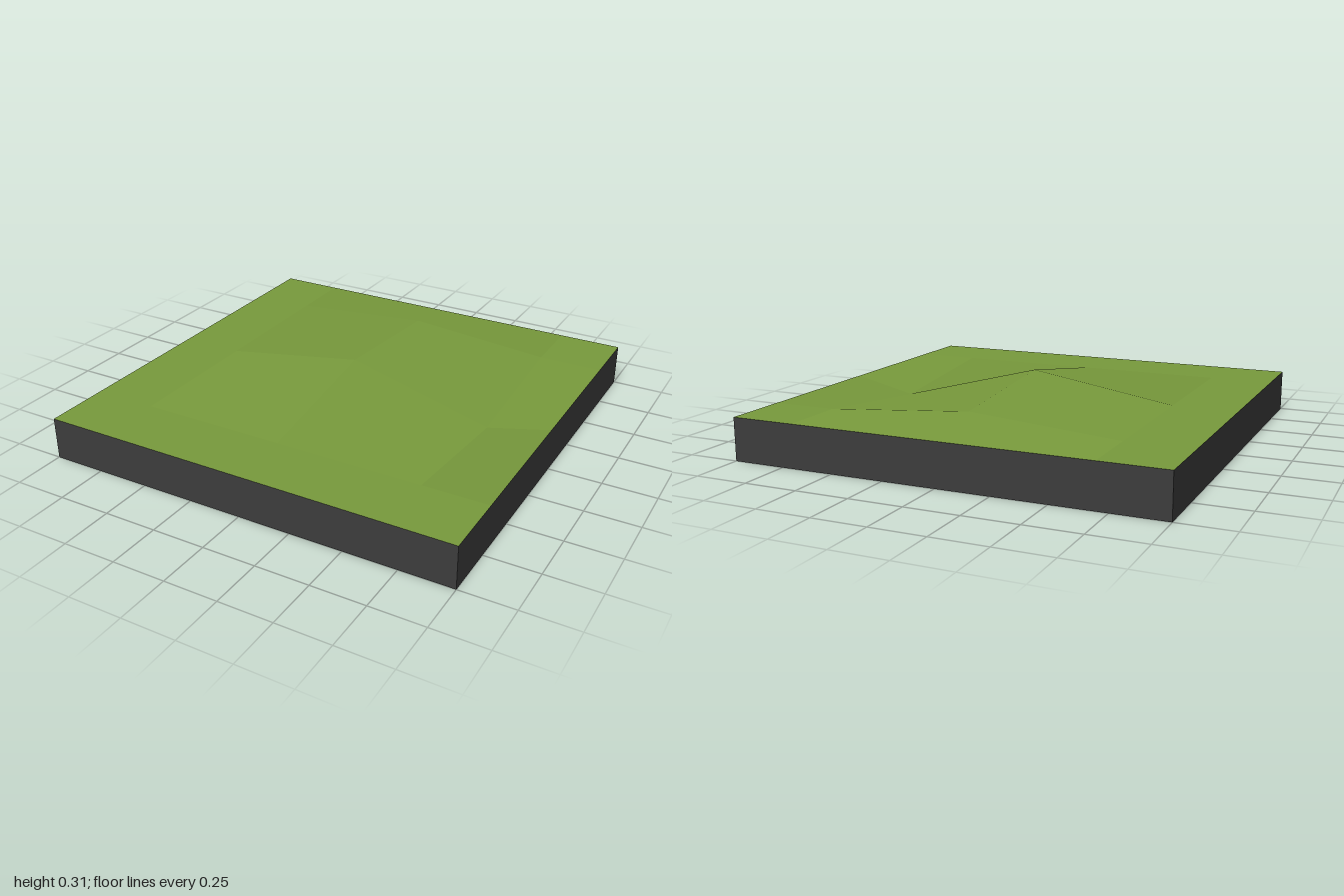
import * as THREE from 'three';

// Terrain control grid: rows run back to front (z), columns left to right (x)
const XS = [-1, -0.695, 0, 0.695, 1];
const ZS = [-1, -0.69, 0, 0.69, 1];
const HEIGHTS = [
  [0.2, 0.2, 0.2, 0.2, 0.2],
  [0.2, 0.2, 0.255, 0.2, 0.2],
  [0.2, 0.2, 0.312, 0.13, 0.2],
  [0.2, 0.2, 0.2, 0.2, 0.2],
  [0.2, 0.2, 0.2, 0.2, 0.2],
];

// Faceted ground sheet: one flat normal for each four-sided patch
function terrainGeometry() {
  const point = (r, c) => new THREE.Vector3(XS[c], HEIGHTS[r][c], ZS[r]);
  const positions = [], normals = [], index = [];
  for (let r = 0; r < 4; r++) {
    for (let c = 0; c < 4; c++) {
      const corners = [point(r, c), point(r + 1, c), point(r + 1, c + 1), point(r, c + 1)];
      const normal = corners[2].clone().sub(corners[0])
        .cross(corners[3].clone().sub(corners[1])).normalize();
      const start = positions.length / 3;
      for (const p of corners) {
        positions.push(p.x, p.y, p.z);
        normals.push(normal.x, normal.y, normal.z);
      }
      // Diagonals ring the central peak instead of radiating from it
      const order = (r < 2) === (c < 2) ? [0, 1, 3, 1, 2, 3] : [0, 1, 2, 0, 2, 3];
      index.push(...order.map((i) => start + i));
    }
  }
  const geometry = new THREE.BufferGeometry();
  geometry.setAttribute('position', new THREE.Float32BufferAttribute(positions, 3));
  geometry.setAttribute('normal', new THREE.Float32BufferAttribute(normals, 3));
  geometry.setIndex(index);
  return geometry;
}

// Slab walls and underside, left open at the top so the hollow stays visible
function slabGeometry() {
  const geometry = new THREE.BoxGeometry(2, 0.2, 2).translate(0, 0.1, 0);
  const index = Array.from(geometry.index.array);
  index.splice(12, 6);
  geometry.setIndex(index);
  geometry.clearGroups();
  return geometry;
}

export function createModel() {
  const grass = new THREE.MeshStandardMaterial({ color: 0x789a3c });
  grass.name = 'grass green';
  const earth = new THREE.MeshStandardMaterial({ color: 0x3c3c3c });
  earth.name = 'dark grey';

  const model = new THREE.Group();
  model.name = 'terrainTile';
  const ground = new THREE.Mesh(terrainGeometry(), grass);
  ground.name = 'grassSurface';
  const slab = new THREE.Mesh(slabGeometry(), earth);
  slab.name = 'baseSlab';
  model.add(ground, slab);
  return model;
}
